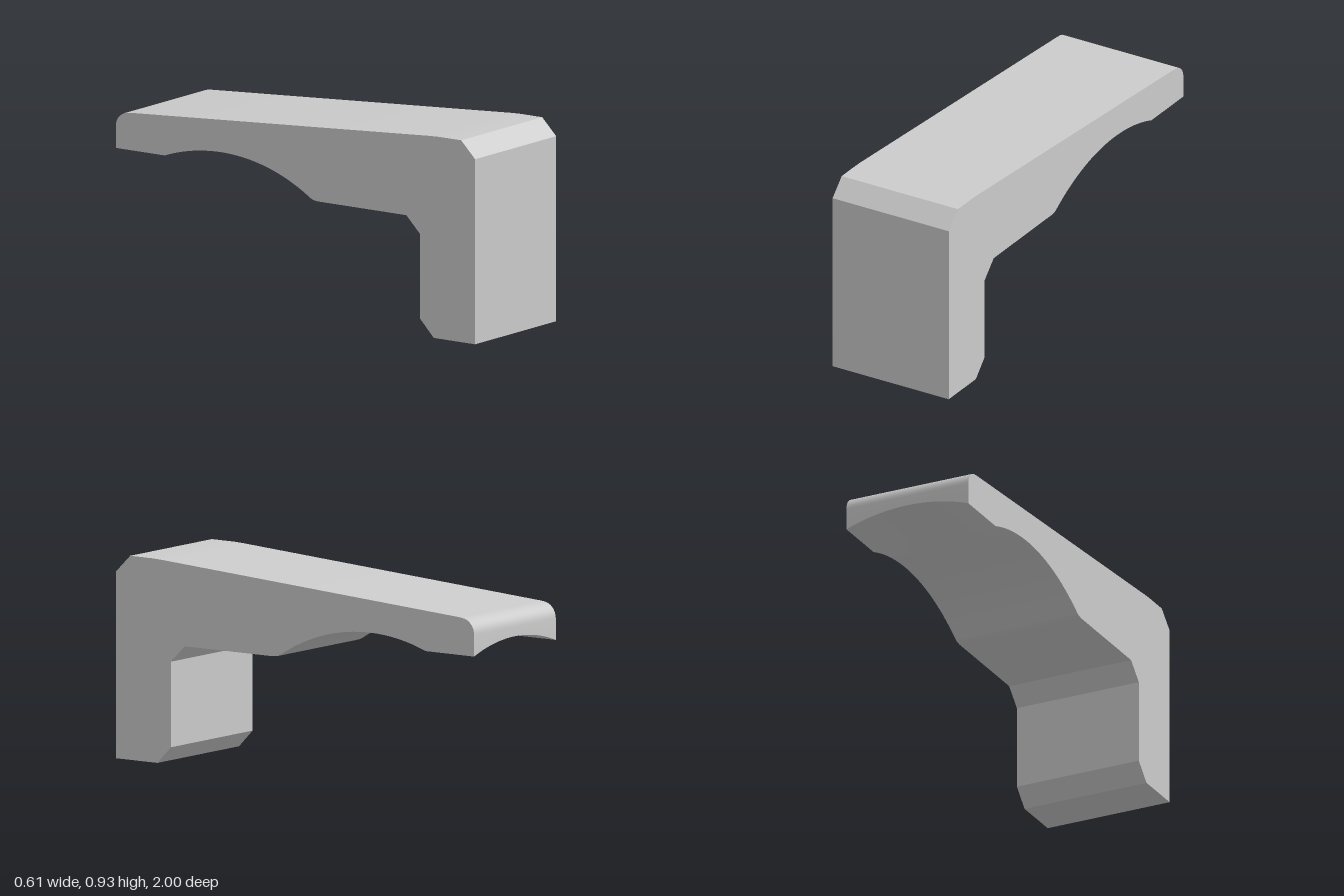
import * as THREE from 'three';
import { toCreasedNormals } from 'three/addons/utils/BufferGeometryUtils.js';

const HALF = 0.306;                 // half width
const APEX = { z: -0.415, y: 0.7 }; // crown of the underside arch
const R = 0.92;                     // arch radius
const LIP = 0.645;                  // underside height at the tip's edges
const SLICES = 32;

// Side outline as [z, y] at a given x; the tip's underside is hollowed across x.
function outline(x) {
  const pts = [[1, 0], [1, 0.848], [0.922, 0.925], [0.8, 0.925], [0.75, 0.923], [-0.92, 0.816]];

  // rounded upper edge of the tip
  for (let i = 1; i <= 8; i++) {
    const a = (i / 8) * Math.PI / 2;
    pts.push([-0.93 - 0.07 * Math.sin(a), 0.743 + 0.071 * Math.cos(a)]);
  }

  // circular groove under the tip, running along z until it meets the arch
  const depth = APEX.y - 0.0005 - LIP;
  const r = (HALF * HALF + depth * depth) / (2 * depth);
  const y = LIP + depth - r + Math.sqrt(r * r - x * x);
  const drop = APEX.y - y;
  const end = APEX.z - Math.sqrt(R * R - (R - drop) ** 2);
  for (let i = 0; i <= 4; i++) pts.push([THREE.MathUtils.lerp(-1, end, i / 4), y]);

  // arch from the groove over its crown and down to the flat underside
  const arch = (z) => [z, APEX.y - R + Math.sqrt(R * R - (z - APEX.z) ** 2)];
  for (let i = 1; i <= 10; i++) pts.push(arch(THREE.MathUtils.lerp(end, APEX.z, i / 10)));
  for (let i = 1; i <= 16; i++) pts.push(arch(THREE.MathUtils.lerp(APEX.z, 0.085, i / 16)));

  // flat underside, then the chamfered inner face of the leg
  pts.push([0.1, 0.546], [0.125, 0.543], [0.617, 0.543], [0.694, 0.466], [0.694, 0.078], [0.77, 0]);
  return pts;
}

function bracketGeometry() {
  const pos = [];
  const index = [];
  let n = 0;
  for (let s = 0; s <= SLICES; s++) {
    const x = HALF * (2 * s / SLICES - 1);
    const ring = outline(x);
    n = ring.length;
    ring.forEach(([z, y]) => pos.push(x, y, z));
  }

  // skin between neighbouring slices
  for (let s = 0; s < SLICES; s++) {
    for (let i = 0; i < n; i++) {
      const j = (i + 1) % n;
      const a = s * n + i, b = a + n, c = (s + 1) * n + j, d = s * n + j;
      index.push(a, b, c, a, c, d);
    }
  }

  // flat side caps
  const flat = outline(HALF).map(([z, y]) => new THREE.Vector2(z, y));
  const last = SLICES * n;
  for (const [a, b, c] of THREE.ShapeUtils.triangulateShape(flat, [])) {
    index.push(a, b, c, last + a, last + c, last + b);
  }

  const geo = new THREE.BufferGeometry();
  geo.setAttribute('position', new THREE.Float32BufferAttribute(pos, 3));
  geo.setIndex(index);
  return toCreasedNormals(geo, 0.55);
}

export function createModel() {
  const group = new THREE.Group();
  group.name = 'hookBracket';
  const body = new THREE.Mesh(bracketGeometry(), new THREE.MeshStandardMaterial({ color: 0xcccccc }));
  body.name = 'bracketBody';
  group.add(body);
  return group;
}
